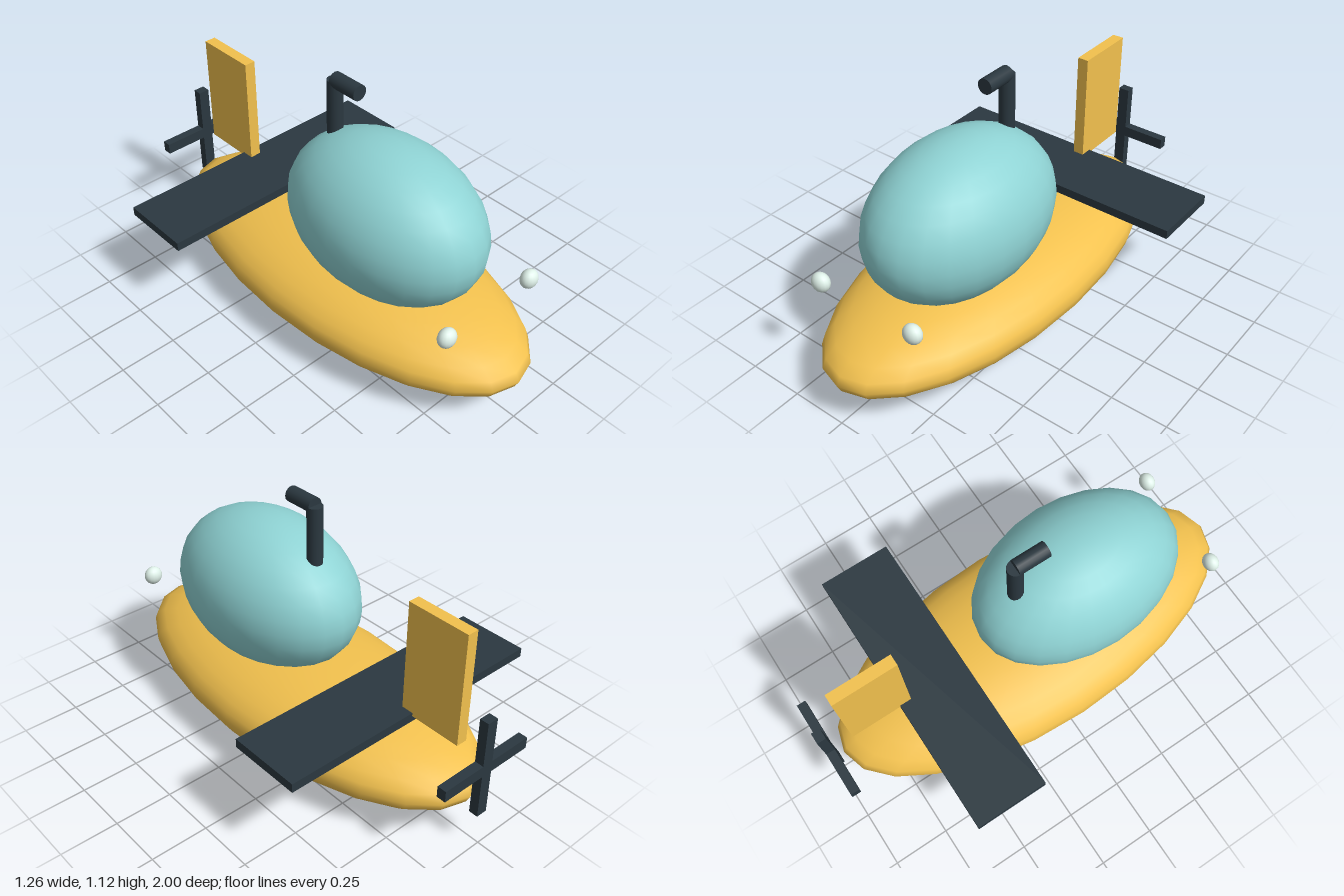
import * as THREE from 'three';

const material = (color) => new THREE.MeshStandardMaterial({ color });

export function createModel() {
  const model = new THREE.Group();
  const yellow = material(0xf2c14e);
  const glass = material(0x8fd3d4);
  const dark = material(0x2b3840);
  const white = material(0xe0f2ea);

  const add = (name, geometry, mat, x, y, z) => {
    const mesh = new THREE.Mesh(geometry, mat);
    mesh.name = name;
    mesh.position.set(x, y, z);
    model.add(mesh);
    return mesh;
  };
  const ellipsoid = (rx, ry, rz, around, down) =>
    new THREE.SphereGeometry(1, around, down).scale(rx, ry, rz);
  const box = (w, h, d) => new THREE.BoxGeometry(w, h, d);

  // Long flattened hull and the cabin sunk into its top
  add('hull', ellipsoid(0.43, 0.197, 0.97, 24, 16), yellow, 0, 0.2, 0.03);
  add('cabinDome', ellipsoid(0.325, 0.335, 0.48, 24, 16), glass, 0, 0.59, 0.26);

  // Periscope: upright tube and a short forward eyepiece
  add('periscopeTube', new THREE.CylinderGeometry(0.034, 0.034, 0.38, 16), dark, 0, 0.895, -0.04);
  const eyepiece = new THREE.CylinderGeometry(0.034, 0.034, 0.14, 16).rotateX(Math.PI / 2);
  add('periscopeEyepiece', eyepiece, dark, 0, 1.085, 0.03);

  // Diving plane and tail fin
  add('divingPlane', box(1.26, 0.04, 0.325), dark, 0, 0.415, -0.477);
  add('tailFin', box(0.05, 0.5, 0.285), yellow, 0, 0.67, -0.728);

  // Crossed propeller blades
  add('propellerBladeVertical', box(0.05, 0.45, 0.04), dark, 0, 0.38, -0.98);
  add('propellerBladeHorizontal', box(0.45, 0.05, 0.04), dark, 0, 0.38, -0.98);

  // Pair of headlights
  for (const side of [1, -1]) {
    add(side > 0 ? 'leftHeadlight' : 'rightHeadlight',
      ellipsoid(0.042, 0.042, 0.034, 16, 12), white, side * 0.235, 0.47, 0.82);
  }
  return model;
}
